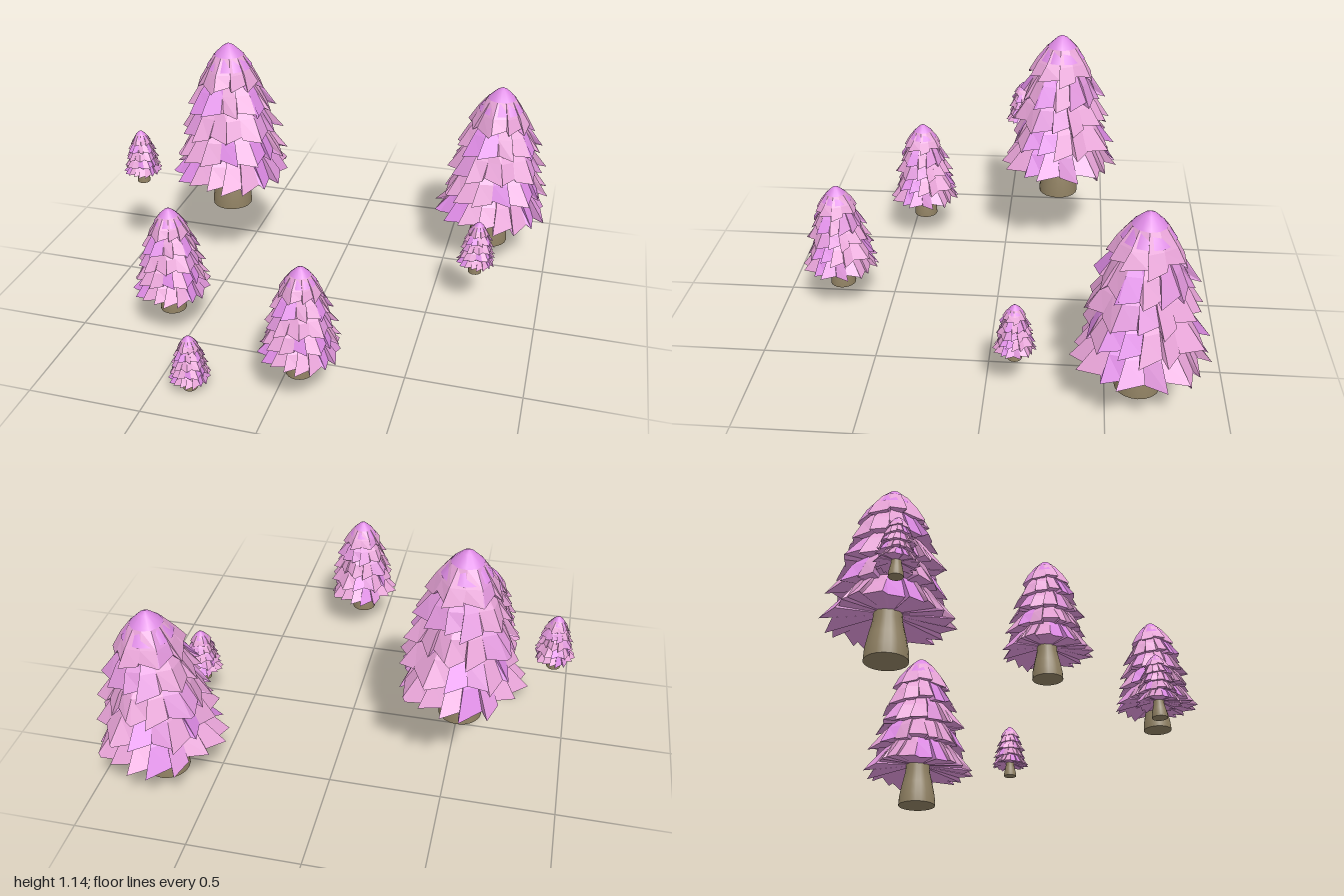
import * as THREE from 'three';

function material(name, color) {
  const m = new THREE.MeshStandardMaterial({ color, side: THREE.DoubleSide });
  m.name = name;
  return m;
}
const foliage = {
  pink: material('pink foliage', 0xe6a2d6),
  mauve: material('mauve foliage', 0xdf95da),
  orchid: material('orchid foliage', 0xdd8ae4)
};
const bark = material('bark', 0x8f8062);

function seeded(seed) {
  return () => {
    seed = (seed * 16807) % 2147483647;
    return seed / 2147483647;
  };
}

const point = (a, r, y) => [r * Math.cos(a), y, r * Math.sin(a)];

function toGeometry(points) {
  const g = new THREE.BufferGeometry();
  g.setAttribute('position', new THREE.Float32BufferAttribute(points.flat(), 3));
  g.computeVertexNormals();
  return g;
}

// One ruffled skirt: overlapping saw-tooth panels with a closed underside
function skirt({ edgeY, edgeR, topY, topR, panels }, rand) {
  const faces = { pink: [], mauve: [], orchid: [] };
  const quad = (list, a, b, c, d) => list.push(a, b, d, b, c, d);
  const step = (Math.PI * 2) / panels;
  const midY = edgeY + (topY - edgeY) * 0.5;
  const midR = topR + (edgeR - topR) * 0.52;
  const centre = [0, edgeY + 0.04, 0];
  const tips = [];
  for (let i = 0; i < panels; i++) {
    const a0 = (i + (rand() - 0.5) * 0.25) * step;
    const a1 = (i + 1 + (rand() - 0.5) * 0.35) * step;
    const size = 0.98 + (rand() - 0.5) * 0.12;
    const drop = (rand() - 0.5) * 0.024;
    const flip = rand() < 0.4;
    const [s0, s1] = flip ? [1.05, 0.88] : [0.88, 1.05];
    const [m0, m1] = flip ? [1.04, 0.93] : [0.93, 1.04];
    const [d0, d1] = flip ? [-0.006, 0.012] : [0.012, -0.006];
    const tone = rand();
    tips.push({
      top: [point(i * step, topR, topY), point((i + 1) * step, topR, topY)],
      mid: [point(i * step, midR * m0, midY), point((i + 1) * step, midR * m1, midY)],
      edge: [point(a0, edgeR * size * s0, edgeY + drop + d0), point(a1, edgeR * size * s1, edgeY + drop + d1)],
      list: tone < 0.5 ? faces.pink : tone < 0.75 ? faces.mauve : faces.orchid
    });
  }
  tips.forEach((p, i) => {
    const next = tips[(i + 1) % panels];
    quad(p.list, p.top[0], p.top[1], p.mid[1], p.mid[0]);
    quad(p.list, p.mid[0], p.mid[1], p.edge[1], p.edge[0]);
    // Fold between this panel and the next
    p.list.push(p.top[1], next.mid[0], p.mid[1]);
    quad(p.list, p.mid[1], next.mid[0], next.edge[0], p.edge[1]);
    // Underside
    faces.mauve.push(p.edge[0], p.edge[1], centre, p.edge[1], next.edge[0], centre);
  });
  return faces;
}

const layers = [
  { edgeY: 0.182, edgeR: 0.268, topY: 0.37, topR: 0.12, panels: 18 },
  { edgeY: 0.3, edgeR: 0.252, topY: 0.48, topR: 0.11, panels: 17 },
  { edgeY: 0.415, edgeR: 0.23, topY: 0.59, topR: 0.1, panels: 16 },
  { edgeY: 0.53, edgeR: 0.2, topY: 0.7, topR: 0.085, panels: 14 },
  { edgeY: 0.64, edgeR: 0.16, topY: 0.775, topR: 0.07, panels: 11 }
];

const profile = (pairs) => pairs.map(([r, y]) => new THREE.Vector2(r, y));
// Flared trunk with a closed base (doubled point keeps the rim sharp)
const trunkProfile = profile([[0, 0], [0.095, 0], [0.095, 0], [0.092, 0.05], [0.08, 0.11], [0.064, 0.18], [0.055, 0.3]]);
// Smooth crown over the top skirt
const crownProfile = profile([[0.108, 0.718], [0.062, 0.782], [0.025, 0.817], [0, 0.83]]);

function lathe(name, points, mat, sides) {
  const mesh = new THREE.Mesh(new THREE.LatheGeometry(points, sides), mat);
  mesh.name = name;
  return mesh;
}

function makeTree() {
  const tree = new THREE.Group();
  const rand = seeded(4711);
  const trunk = lathe('trunk', trunkProfile, bark, 20);
  trunk.position.x = -0.012;
  tree.add(trunk, lathe('crown', crownProfile, foliage.orchid, 12));
  layers.forEach((layer, i) => {
    const group = new THREE.Group();
    group.name = `foliageLayer${i + 1}`;
    for (const [tone, points] of Object.entries(skirt(layer, rand))) {
      const mesh = new THREE.Mesh(toGeometry(points), foliage[tone]);
      mesh.name = `${tone}Panels`;
      group.add(mesh);
    }
    group.rotation.y = i * 0.7;
    tree.add(group);
  });
  return tree;
}

export function createModel() {
  const model = new THREE.Group();
  model.name = 'treeGrove';
  const prototype = makeTree();
  // name, x, base height, z, scale
  [
    ['largeTreeBack', -0.525, 0.31, -0.265, 1],
    ['largeTreeLeft', 0.715, 0.08, -0.63, 1],
    ['mediumTreeRight', -0.573, 0.12, 0.425, 0.615],
    ['mediumTreeFront', 0.107, 0.12, 0.72, 0.615],
    ['smallTreeFront', -0.354, 0, 0.8, 0.32],
    ['smallTreeRight', -0.911, 0.47, -0.065, 0.32],
    ['smallTreeLeft', 0.703, 0.185, -0.125, 0.32]
  ].forEach(([name, x, y, z, scale]) => {
    const tree = prototype.clone();
    tree.name = name;
    tree.position.set(x, y, z);
    tree.scale.setScalar(scale);
    model.add(tree);
  });
  return model;
}
